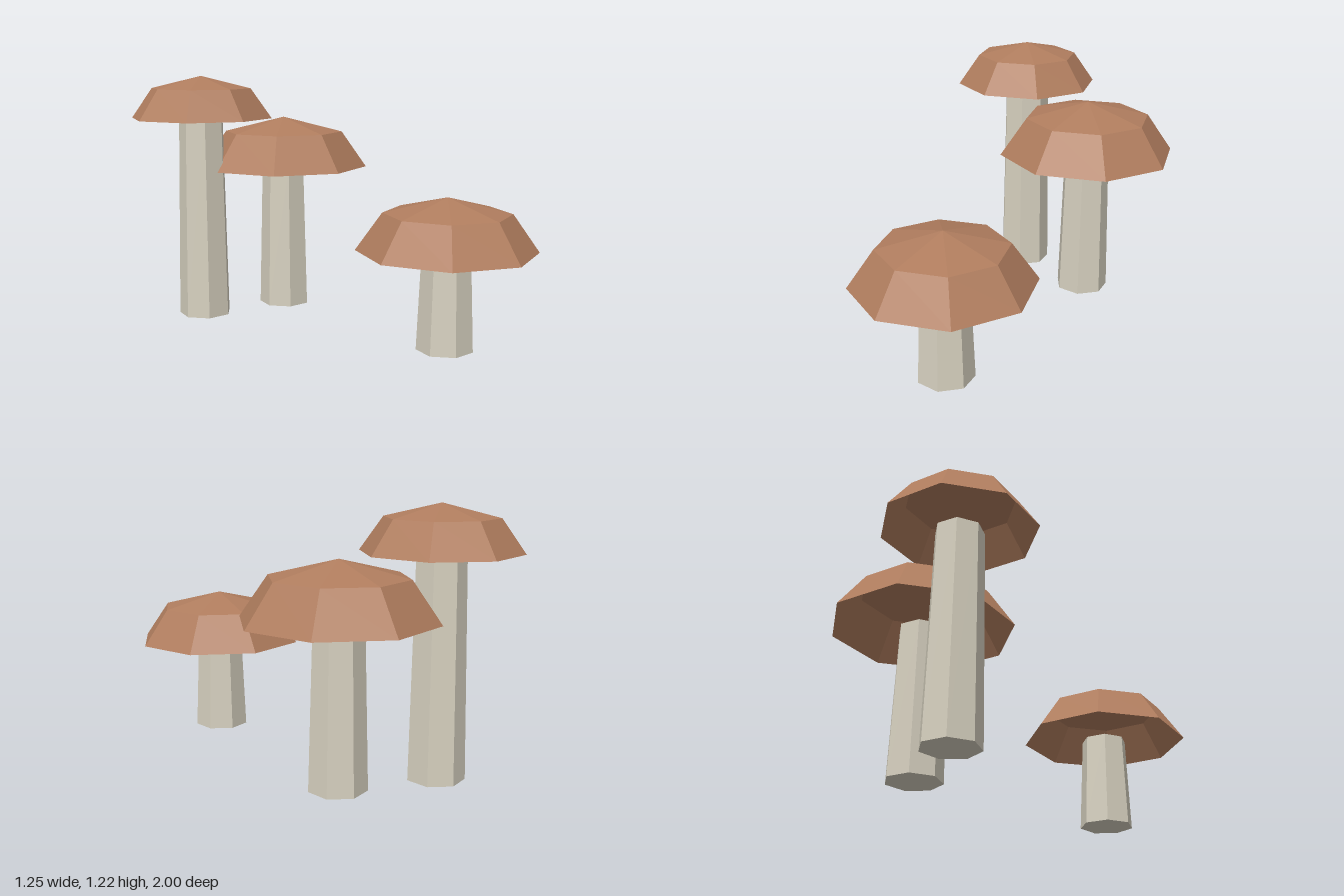
import * as THREE from 'three';

export function createModel() {
  const group = new THREE.Group();
  const capMat = new THREE.MeshStandardMaterial({ name: 'brown cap', color: 0xb07d5e, flatShading: true, side: THREE.DoubleSide });
  const stemMat = new THREE.MeshStandardMaterial({ name: 'pale stem', color: 0xd6d0bf, flatShading: true });

  function addMushroom(name, x, z, radius, rimY, ringY, topY) {
    const mushroom = new THREE.Group();
    mushroom.name = name;
    mushroom.position.set(x, 0, z);

    // Seven-sided tapering stem with a flat side to the front, ending at the rim
    const stem = new THREE.Mesh(new THREE.CylinderGeometry(0.113, 0.1325, rimY, 7), stemMat);
    stem.name = 'stem';
    stem.rotation.y = Math.PI;
    stem.position.y = rimY / 2;

    // Hollow eight-sided cap: steep skirt and shallow crown
    const profile = [
      new THREE.Vector2(radius, rimY),
      new THREE.Vector2(radius * 0.705, ringY),
      new THREE.Vector2(0, topY),
    ];
    const cap = new THREE.Mesh(new THREE.LatheGeometry(profile, 8), capMat);
    cap.name = 'cap';

    mushroom.add(stem, cap);
    group.add(mushroom);
  }

  addMushroom('shortMushroom', 0.21, 0.585, 0.413, 0.457, 0.63, 0.703);
  addMushroom('middleMushroom', 0.18, -0.547, 0.436, 0.74, 0.924, 1.0);
  addMushroom('tallMushroom', -0.27, -0.644, 0.356, 1.01, 1.159, 1.22);

  return group;
}
